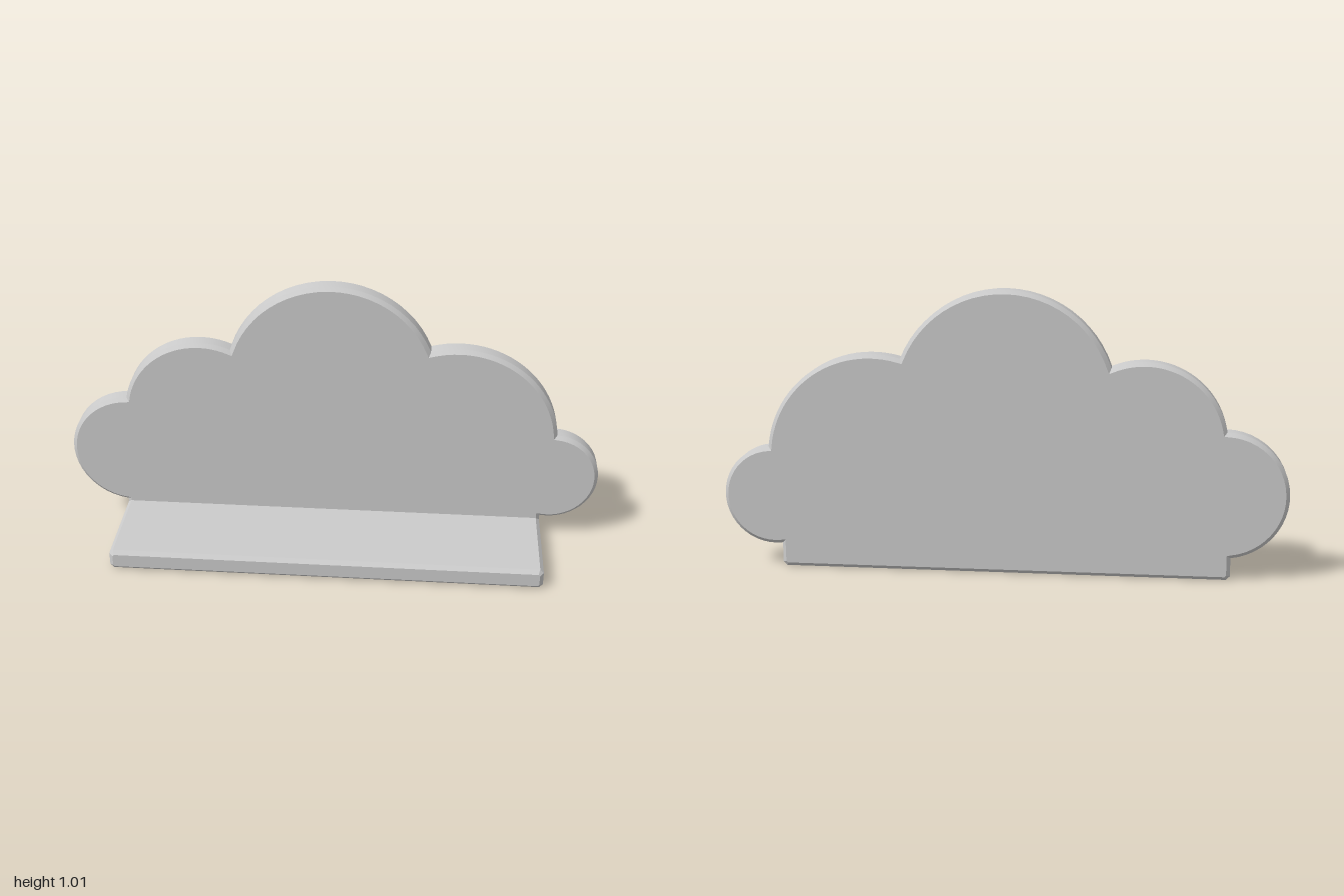
import * as THREE from 'three';
import { toCreasedNormals } from 'three/addons/utils/BufferGeometryUtils.js';

const BEVEL = 0.014;
const LEFT = -0.805, RIGHT = 0.795; // shelf ends

// Points on a clockwise arc from a to b that bulges outward by h
function arcPoints([ax, ay], [bx, by], h, steps = 24) {
  const chord = Math.hypot(bx - ax, by - ay);
  const r = (chord * chord / 4 + h * h) / (2 * h);
  const cx = (ax + bx) / 2 - (by - ay) / chord * (h - r);
  const cy = (ay + by) / 2 + (bx - ax) / chord * (h - r);
  const start = Math.atan2(ay - cy, ax - cx);
  const sweep = 4 * Math.atan(2 * h / chord);
  const points = [];
  for (let i = 0; i < steps; i++) {
    const t = start - sweep * i / steps;
    points.push(new THREE.Vector2(cx + r * Math.cos(t), cy + r * Math.sin(t)));
  }
  return points;
}

// Chamfered slab of an outline between two z planes
function slab(name, points, zBack, zFront, material) {
  const geometry = new THREE.ExtrudeGeometry(new THREE.Shape(points), {
    depth: zFront - zBack - 2 * BEVEL,
    bevelThickness: BEVEL, bevelSize: BEVEL, bevelOffset: -BEVEL, bevelSegments: 1,
  });
  geometry.translate(0, 0, zBack + BEVEL);
  const mesh = new THREE.Mesh(toCreasedNormals(geometry, 0.5), material);
  mesh.name = name;
  return mesh;
}

export function createModel() {
  const group = new THREE.Group();
  group.name = 'cloudShelf';
  const material = new THREE.MeshStandardMaterial({ color: 0xcccccc });

  // Cloud back panel: five lobes between notches, plus a tab down to the base
  const notches = [[LEFT, 0.08], [-0.78, 0.53], [-0.38, 0.745], [0.355, 0.765], [0.835, 0.44], [RIGHT, 0.085]];
  const bulges = [0.208, 0.11, 0.255, 0.136, 0.185];
  const outline = bulges.flatMap((h, i) => arcPoints(notches[i], notches[i + 1], h));
  const v = (x, y) => new THREE.Vector2(x, y);
  const bottom = [v(RIGHT, BEVEL), v(RIGHT - BEVEL, 0), v(LEFT + BEVEL, 0), v(LEFT, BEVEL)];
  outline.push(v(...notches[5]), ...bottom);
  group.add(slab('backPanel', outline, -0.215, -0.137, material));

  // Shelf board with chamfered edges, its rear end set into the panel
  const top = 0.078;
  const board = [
    v(LEFT, top - BEVEL), v(LEFT + BEVEL, top), v(RIGHT - BEVEL, top), v(RIGHT, top - BEVEL), ...bottom,
  ];
  group.add(slab('shelf', board, -0.17, 0.215, material));

  return group;
}
